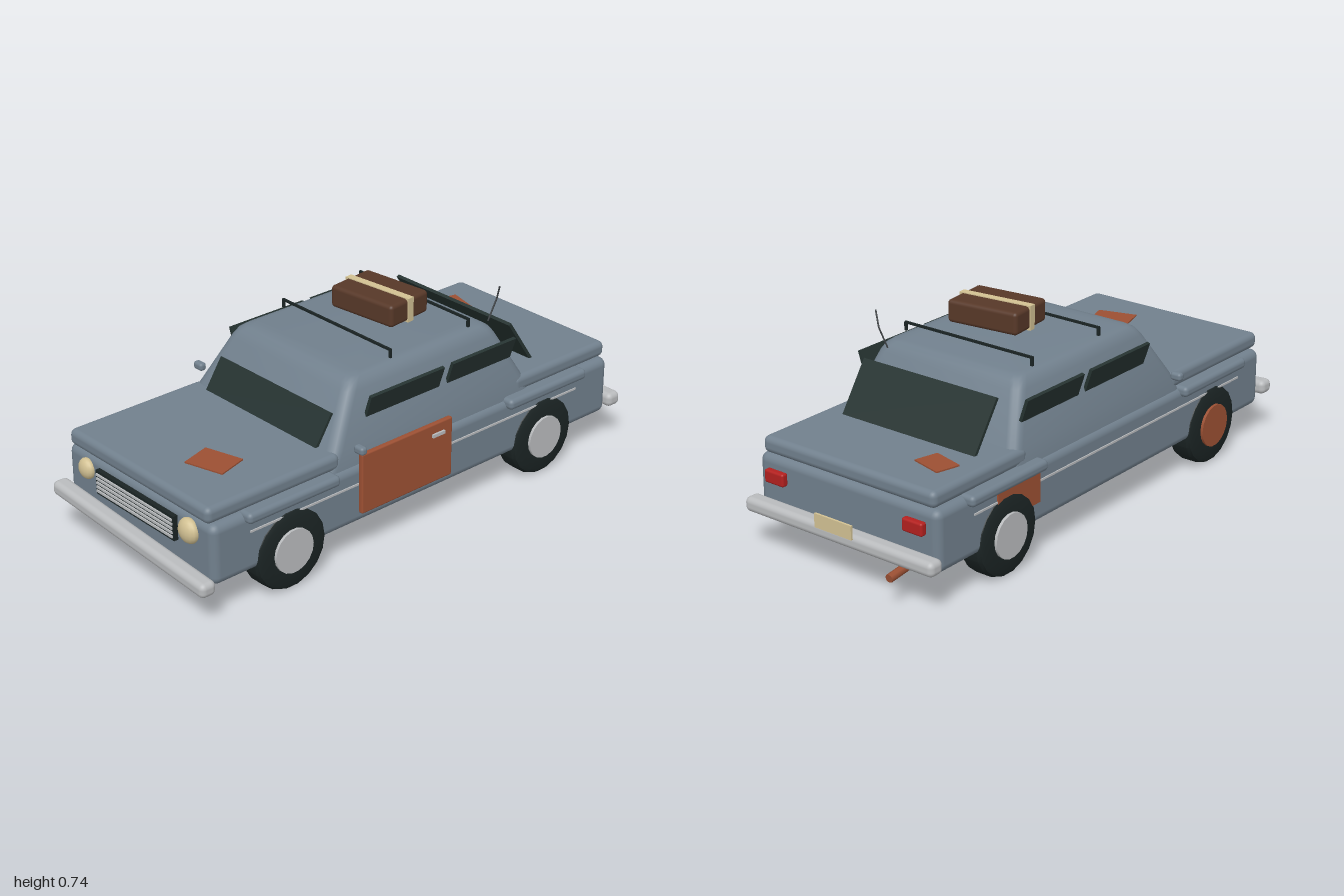
import * as THREE from 'three';
import { toCreasedNormals } from 'three/addons/utils/BufferGeometryUtils.js';
import { RoundedBoxGeometry } from 'three/addons/geometries/RoundedBoxGeometry.js';

const mat = (name, color) => {
  const m = new THREE.MeshStandardMaterial({ color });
  m.name = name;
  return m;
};

// Stack of rounded rectangles [y, halfWidth, zBack, zFront, cornerRadius] closed at the top and bottom
function loft(rings, arc = 4) {
  const pos = [], idx = [], n = 4 * (arc + 1);
  for (const [y, hx, z0, z1, r] of rings) {
    const corners = [[hx - r, z1 - r], [r - hx, z1 - r], [r - hx, z0 + r], [hx - r, z0 + r]];
    corners.forEach(([cx, cz], q) => {
      for (let k = 0; k <= arc; k++) {
        const a = (q + k / arc) * Math.PI / 2;
        pos.push(cx + r * Math.cos(a), y, cz + r * Math.sin(a));
      }
    });
  }
  for (let j = 0; j < rings.length - 1; j++) {
    for (let i = 0; i < n; i++) {
      const a = j * n + i, b = j * n + (i + 1) % n;
      idx.push(a, a + n, b, b, a + n, b + n);
    }
  }
  const top = (rings.length - 1) * n;
  for (let i = 1; i < n - 1; i++) {
    idx.push(top, top + i + 1, top + i);
    idx.push(0, i, i + 1);
  }
  const g = new THREE.BufferGeometry();
  g.setAttribute('position', new THREE.Float32BufferAttribute(pos, 3));
  g.setIndex(idx);
  return toCreasedNormals(g, 0.75);
}

export function createModel() {
  const car = new THREE.Group();
  car.name = 'oldCar';
  const paint = mat('blueGreyPaint', 0x71808d);
  const rust = mat('rust', 0x9c5033);
  const chrome = mat('chrome', 0xb9bbbd);
  const glass = mat('darkGlass', 0x263331);
  const rubber = mat('rubber', 0x1b2424);
  const cream = mat('cream', 0xd2c193);
  const leather = mat('brownLeather', 0x573828);
  const red = mat('tailRed', 0xb3201f);
  const wire = mat('antennaGrey', 0x44484b);

  const add = (name, geo, material, x = 0, y = 0, z = 0, rx = 0, ry = 0, rz = 0, parent = car) => {
    const m = new THREE.Mesh(geo, material);
    m.name = name;
    m.position.set(x, y, z);
    m.rotation.set(rx, ry, rz);
    parent.add(m);
    return m;
  };
  const box = (w, h, d) => new THREE.BoxGeometry(w, h, d);
  const round = (w, h, d, r) => new RoundedBoxGeometry(w, h, d, 3, r);
  const rod = (name, a, b, r, material, sides = 6) => {
    const p = new THREE.Vector3(...a), q = new THREE.Vector3(...b), dir = q.clone().sub(p);
    const m = add(name, new THREE.CylinderGeometry(r, r, dir.length(), sides), material);
    m.position.copy(p).add(q).multiplyScalar(0.5);
    m.quaternion.setFromUnitVectors(new THREE.Vector3(0, 1, 0), dir.normalize());
  };

  // Body shell
  add('lowerBody', round(0.78, 0.22, 1.845, 0.03), paint, 0, 0.238, 0.008);
  add('hood', round(0.745, 0.06, 0.56, 0.022), paint, 0, 0.379, 0.656);
  add('trunkLid', round(0.745, 0.06, 0.47, 0.022), paint, 0, 0.379, -0.677);
  add('cabin', loft([
    [0.34, 0.376, -0.53, 0.44, 0.04],
    [0.41, 0.366, -0.5, 0.4, 0.04],
    [0.575, 0.313, -0.415, 0.295, 0.04],
    [0.6, 0.3, -0.398, 0.275, 0.04],
    [0.612, 0.284, -0.38, 0.255, 0.04],
    [0.616, 0.262, -0.36, 0.232, 0.04],
  ]), paint);

  // Windows
  add('windshield', box(0.577, 0.13, 0.012), glass, 0, 0.458, 0.375, -0.58);
  add('rearWindow', box(0.577, 0.205, 0.012), glass, 0, 0.49, -0.552, 0.595);

  // Parts mirrored on both sides
  const tireGeo = toCreasedNormals(new THREE.LatheGeometry([
    [0.07, -0.05], [0.128, -0.05], [0.142, -0.043], [0.148, -0.03],
    [0.148, 0.03], [0.142, 0.043], [0.128, 0.05], [0.07, 0.05],
  ].map(p => new THREE.Vector2(...p)), 18), 0.5);
  const hubGeo = new THREE.CylinderGeometry(0.08, 0.08, 0.112, 18);
  for (const s of [1, -1]) {
    const side = s > 0 ? 'left' : 'right';
    add(side + 'FrontWindow', box(0.012, 0.085, 0.335), glass, s * 0.352, 0.528, 0.072, 0, 0, -0.32 * s);
    add(side + 'RearWindow', box(0.012, 0.085, 0.305), glass, s * 0.352, 0.528, -0.288, 0, 0, -0.32 * s);
    add(side + 'SideTrim', box(0.008, 0.007, 1.52), chrome, s * 0.39, 0.28, 0.02);
    add(side + 'FrontFender', round(0.07, 0.04, 0.39, 0.016), paint, s * 0.38, 0.336, 0.605);
    add(side + 'RearFender', round(0.07, 0.04, 0.39, 0.016), paint, s * 0.38, 0.336, -0.578);
    add(side + 'Mirror', round(0.045, 0.03, 0.028, 0.011), paint, s * 0.422, 0.428, 0.335);
    add(side + 'TailLight', round(0.085, 0.047, 0.026, 0.008), red, s * 0.3, 0.282, -0.926);
    for (const [end, z] of [['Front', 0.61], ['Rear', -0.572]]) {
      const wheel = new THREE.Group();
      wheel.name = side + end + 'Wheel';
      wheel.position.set(s * 0.35, 0.148, z);
      wheel.rotation.z = Math.PI / 2;
      car.add(wheel);
      add('tire', tireGeo, rubber, 0, 0, 0, 0, 0, 0, wheel);
      add('hubcap', hubGeo, s < 0 && end === 'Front' ? rust : chrome, 0, -s * 0.004, 0, 0, 0, 0, wheel);
    }
  }

  // Bumpers, the front one hanging crooked
  add('frontBumper', round(0.82, 0.053, 0.062, 0.02), chrome, 0, 0.166, 0.964, 0, 0, -0.057);
  add('rearBumper', round(0.82, 0.053, 0.062, 0.02), chrome, 0, 0.172, -0.942);
  add('licensePlate', box(0.16, 0.05, 0.008), cream, 0, 0.212, -0.976);

  // Grille and mismatched headlights
  add('grille', box(0.42, 0.09, 0.02), rubber, 0, 0.276, 0.937);
  for (let i = 0; i < 5; i++) {
    add('grilleBar', box(0.408, 0.008, 0.008), chrome, 0, 0.245 + i * 0.0155, 0.948);
  }
  for (const [x, r] of [[-0.276, 0.038], [0.274, 0.045]]) {
    add('headlight', new THREE.SphereGeometry(r, 16, 10), cream, x, 0.295, 0.935).scale.z = 0.65;
  }

  // Replacement door and rust patches
  add('rustyDoor', round(0.02, 0.224, 0.415, 0.006), rust, 0.4, 0.283, 0.108);
  add('doorHandle', box(0.012, 0.012, 0.055), chrome, 0.412, 0.354, -0.03);
  add('hoodRust', box(0.15, 0.006, 0.117), rust, 0.137, 0.411, 0.72, 0, 0.28);
  add('trunkRust', box(0.122, 0.006, 0.09), rust, -0.23, 0.411, -0.73, 0, -0.25);
  add('fenderRust', box(0.008, 0.12, 0.22), rust, -0.391, 0.265, -0.515);

  // Roof rack
  for (const z of [0.068, -0.298]) {
    add('rackBar', box(0.558, 0.008, 0.008), rubber, 0, 0.652, z);
    for (const s of [1, -1]) add('rackFoot', box(0.009, 0.03, 0.009), rubber, s * 0.275, 0.638, z);
  }

  // Suitcase with strap
  const suitcase = new THREE.Group();
  suitcase.name = 'suitcase';
  suitcase.position.set(0.022, 0.701, -0.115);
  suitcase.rotation.y = 0.11;
  car.add(suitcase);
  add('case', round(0.28, 0.082, 0.195, 0.014), leather, 0, 0, 0, 0, 0, 0, suitcase);
  add('strap', box(0.287, 0.088, 0.028), cream, 0, 0, 0, 0, 0, 0, suitcase);

  // Bent antenna and loose exhaust
  rod('antennaBase', [0.252, 0.6, -0.42], [0.261, 0.68, -0.452], 0.003, wire);
  rod('antennaTip', [0.261, 0.68, -0.452], [0.283, 0.735, -0.441], 0.003, wire);
  rod('exhaustPipe', [-0.255, 0.128, -0.88], [-0.255, 0.114, -0.998], 0.015, rust, 8);

  return car;
}
